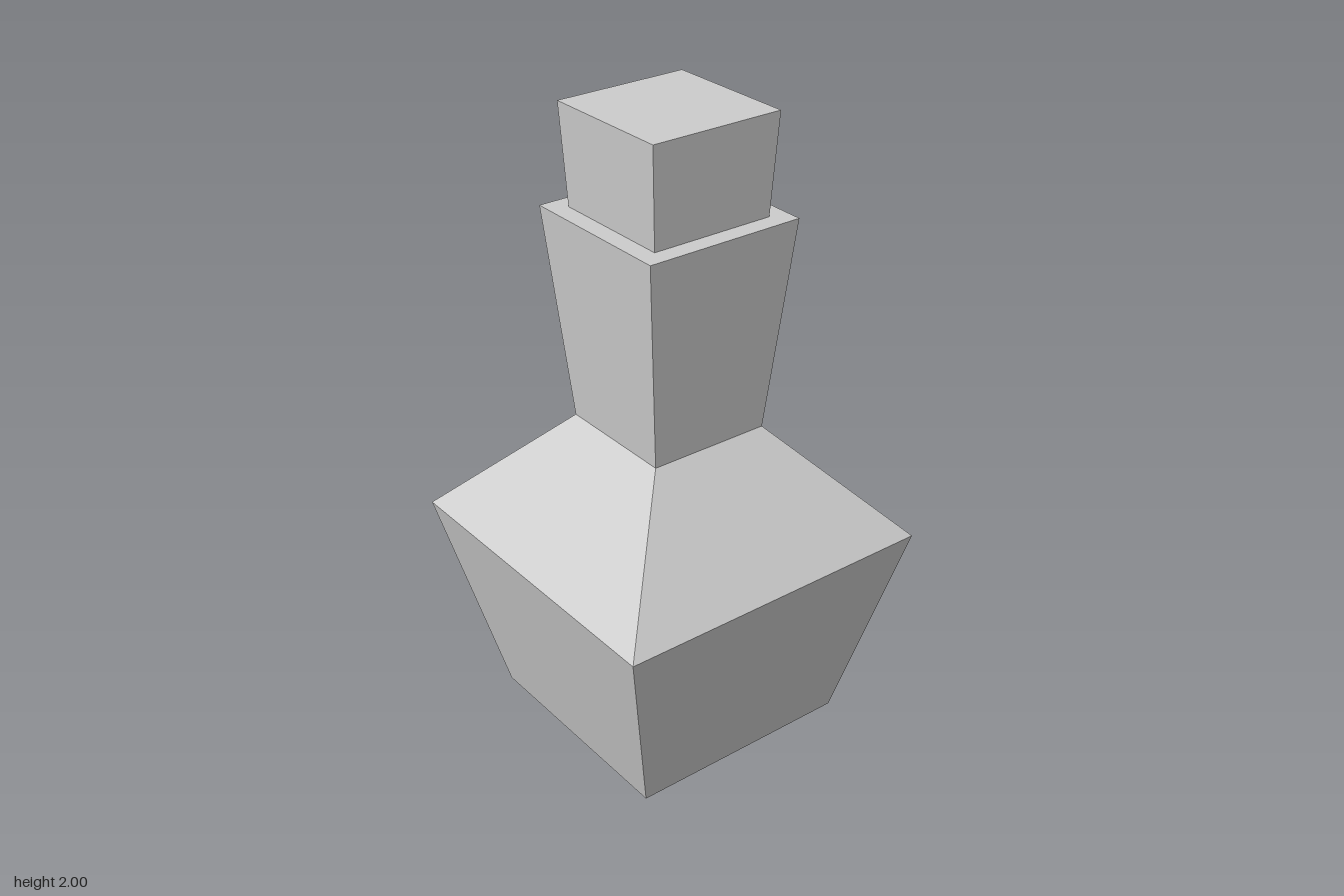
import * as THREE from 'three';

// Square-section solid swept from a [halfWidth, height] profile, bottom to top
function squareSolid(name, profile, material) {
  const points = profile.map(([w, y]) => new THREE.Vector2(w * Math.SQRT2, y));
  const geometry = new THREE.LatheGeometry(points, 4, Math.PI / 4).toNonIndexed();
  geometry.computeVertexNormals();
  const mesh = new THREE.Mesh(geometry, material);
  mesh.name = name;
  return mesh;
}

export function createModel() {
  const group = new THREE.Group();
  group.name = 'bottle';
  const grey = new THREE.MeshStandardMaterial({ color: 0xcccccc, flatShading: true });
  grey.name = 'light grey';

  group.add(
    // Body with closed base, widening upwards
    squareSolid('body', [[0, 0], [0.37, 0], [0.528, 0.67]], grey),
    // Sloping shoulder
    squareSolid('shoulder', [[0.528, 0.67], [0.198, 1.02]], grey),
    // Flared neck with a flat rim
    squareSolid('neck', [[0.198, 1.02], [0.259, 1.69], [0.2, 1.69]], grey),
    // Stopper with a flat top
    squareSolid('stopper', [[0.2, 1.69], [0.216, 2], [0, 2]], grey),
  );
  return group;
}
